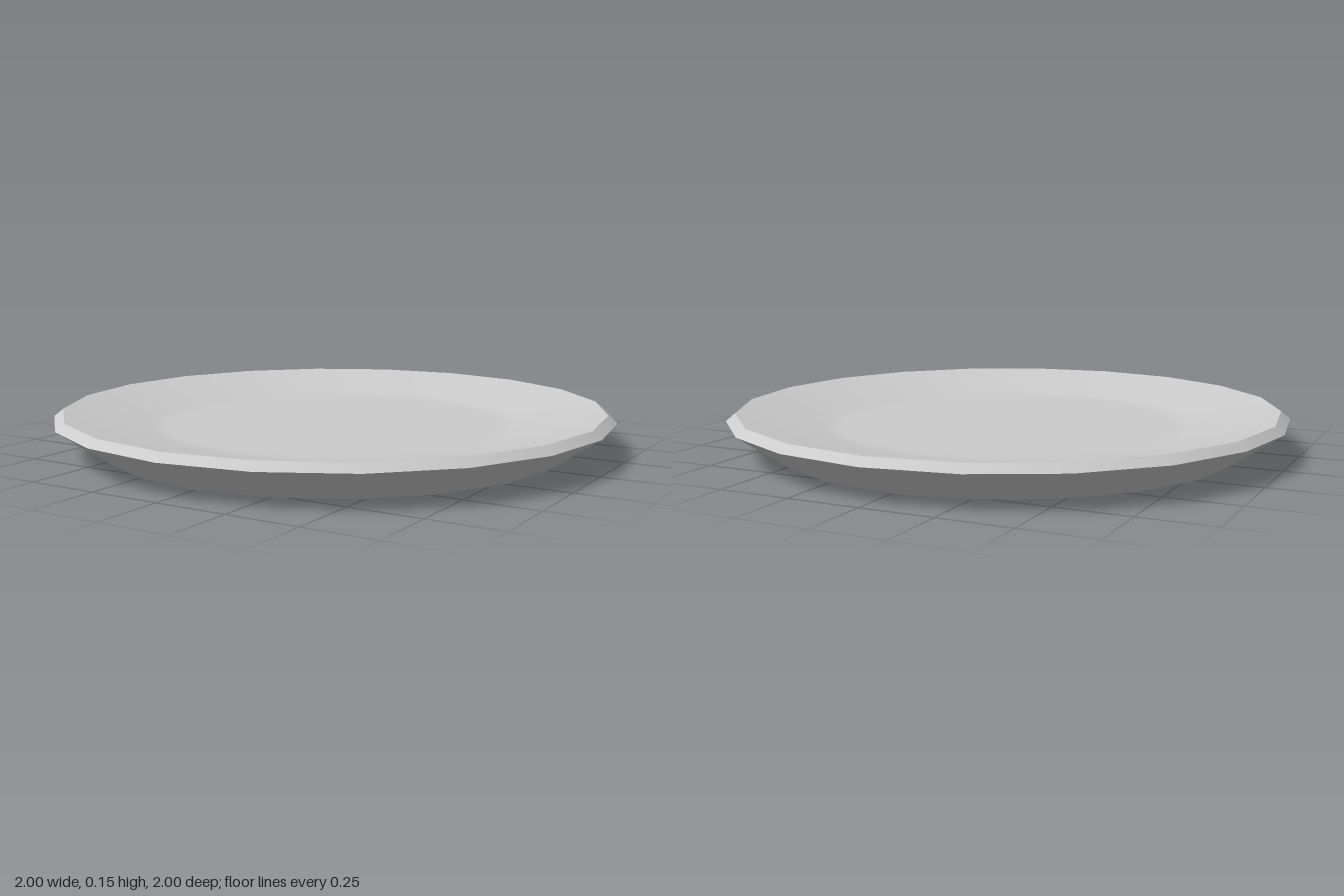
import * as THREE from 'three';

const SIDES = 20;

// Each band is its own lathe: smooth within the band, creased where bands meet.
// Profiles run from the bottom centre outward, over the rim and back in.
const BANDS = {
  underside: [[0, 0], [0.08, 0], [0.83, 0.004]],
  outerWall: [[0.83, 0.004], [1, 0.12]],
  rim: [[1, 0.12], [0.968, 0.146]],
  dish: [[0.968, 0.146], [0.67, 0.085], [0.6, 0.083], [0, 0.083]],
};

export function createModel() {
  const plate = new THREE.Group();
  plate.name = 'plate';
  const material = new THREE.MeshStandardMaterial({ color: 0xcccccc });

  for (const [name, profile] of Object.entries(BANDS)) {
    const points = profile.map(([r, y]) => new THREE.Vector2(r, y));
    const mesh = new THREE.Mesh(new THREE.LatheGeometry(points, SIDES), material);
    mesh.name = name;
    plate.add(mesh);
  }
  return plate;
}
